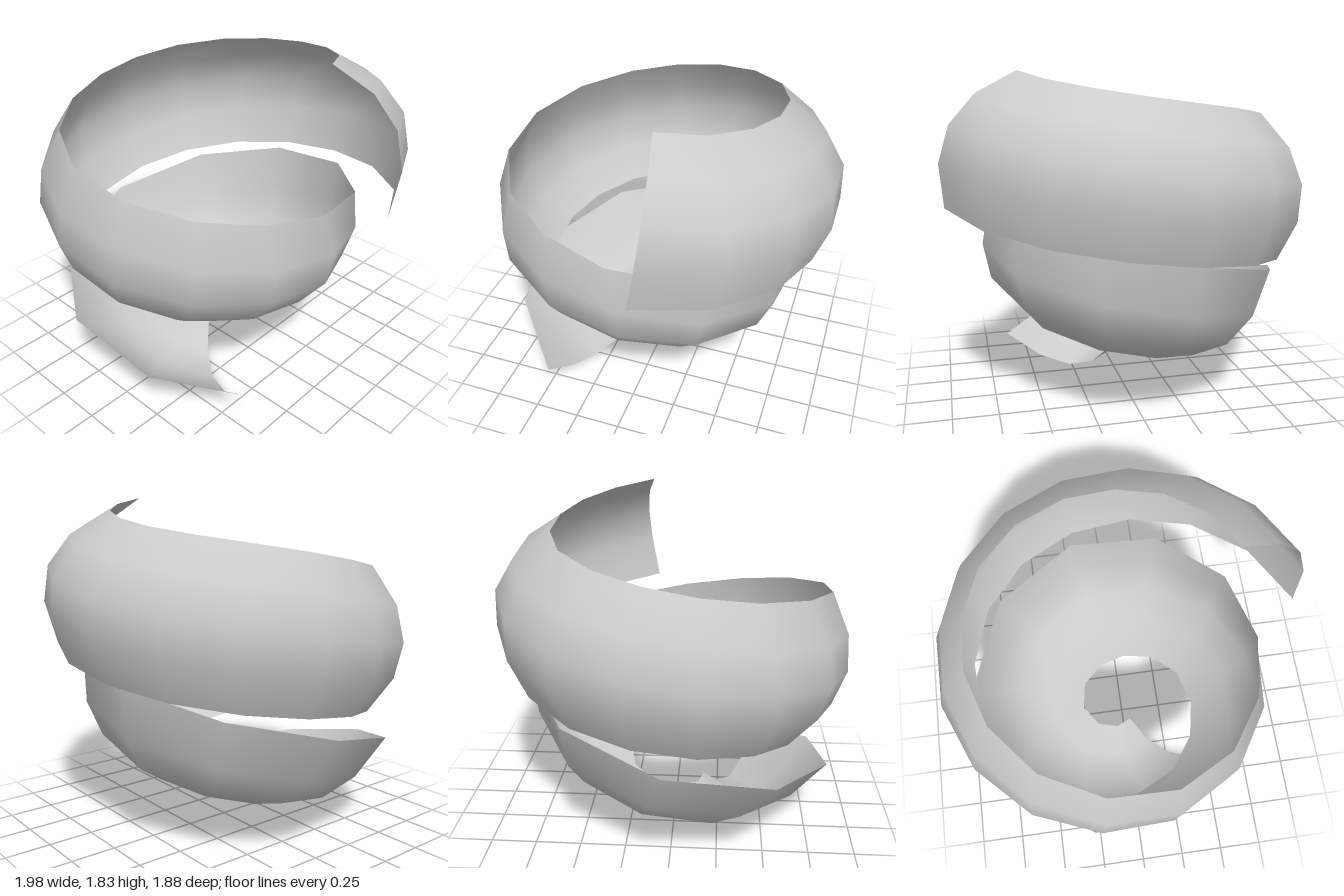
import * as THREE from 'three';

// Rail of the band: evenly spaced keys of [angle in degrees, radius, height]
function rail(keys) {
  return new THREE.CatmullRomCurve3(
    keys.map(([deg, r, y]) => new THREE.Vector3(deg, r, y)), false, 'catmullrom', 0.5);
}

const lowerRail = rail([
  [72, 0.127, 0.19], [175, 0.25, 0.24], [279, 0.273, 0.32], [378, 0.44, 0.44], [450, 0.68, 0.57],
  [509, 0.816, 0.70], [573, 0.875, 0.84], [641, 0.90, 0.99], [710, 0.995, 1.14]]);
const middleRail = rail([
  [51, 0.426, 0], [159, 0.62, 0.22], [258, 0.68, 0.46], [358, 0.75, 0.71], [440, 0.915, 0.90],
  [508, 0.99, 1.08], [573, 0.985, 1.25], [641, 0.96, 1.42], [706, 0.968, 1.57]]);
const upperRail = rail([
  [36, 0.79, 0.19], [144, 0.915, 0.54], [256, 0.82, 0.92], [362, 0.745, 1.14], [438, 0.835, 1.33],
  [509, 0.815, 1.48], [568, 0.747, 1.61], [635, 0.632, 1.72], [704, 0.614, 1.83]]);

// Point on a rail, from polar to space
function at(curve, t) {
  const p = curve.getPoint(t);
  const a = THREE.MathUtils.degToRad(p.x);
  return new THREE.Vector3(Math.cos(a) * p.y, p.z, Math.sin(a) * p.y);
}

export function createModel() {
  const group = new THREE.Group();
  group.name = 'spiralBowl';

  // Grid of 4 x 24 faces, bent so each row bows through the three rails
  const across = 4, along = 24;
  const geometry = new THREE.PlaneGeometry(1, 1, across, along);
  const pos = geometry.attributes.position;
  for (let k = 0, i = 0; k <= along; k++) {
    const lower = at(lowerRail, k / along);
    const middle = at(middleRail, k / along);
    const upper = at(upperRail, k / along);
    for (let c = 0; c <= across; c++, i++) {
      const s = 1 - c / across; // upper edge first, so the outside is the front
      const p = new THREE.Vector3()
        .addScaledVector(lower, (1 - s) * (1 - 2 * s))
        .addScaledVector(middle, 4 * s * (1 - s))
        .addScaledVector(upper, s * (2 * s - 1));
      pos.setXYZ(i, p.x, p.y, p.z);
    }
  }
  geometry.computeVertexNormals();

  const band = new THREE.Mesh(geometry,
    new THREE.MeshStandardMaterial({ color: 0xcccccc, side: THREE.DoubleSide }));
  band.name = 'spiralBand';
  group.add(band);
  return group;
}
